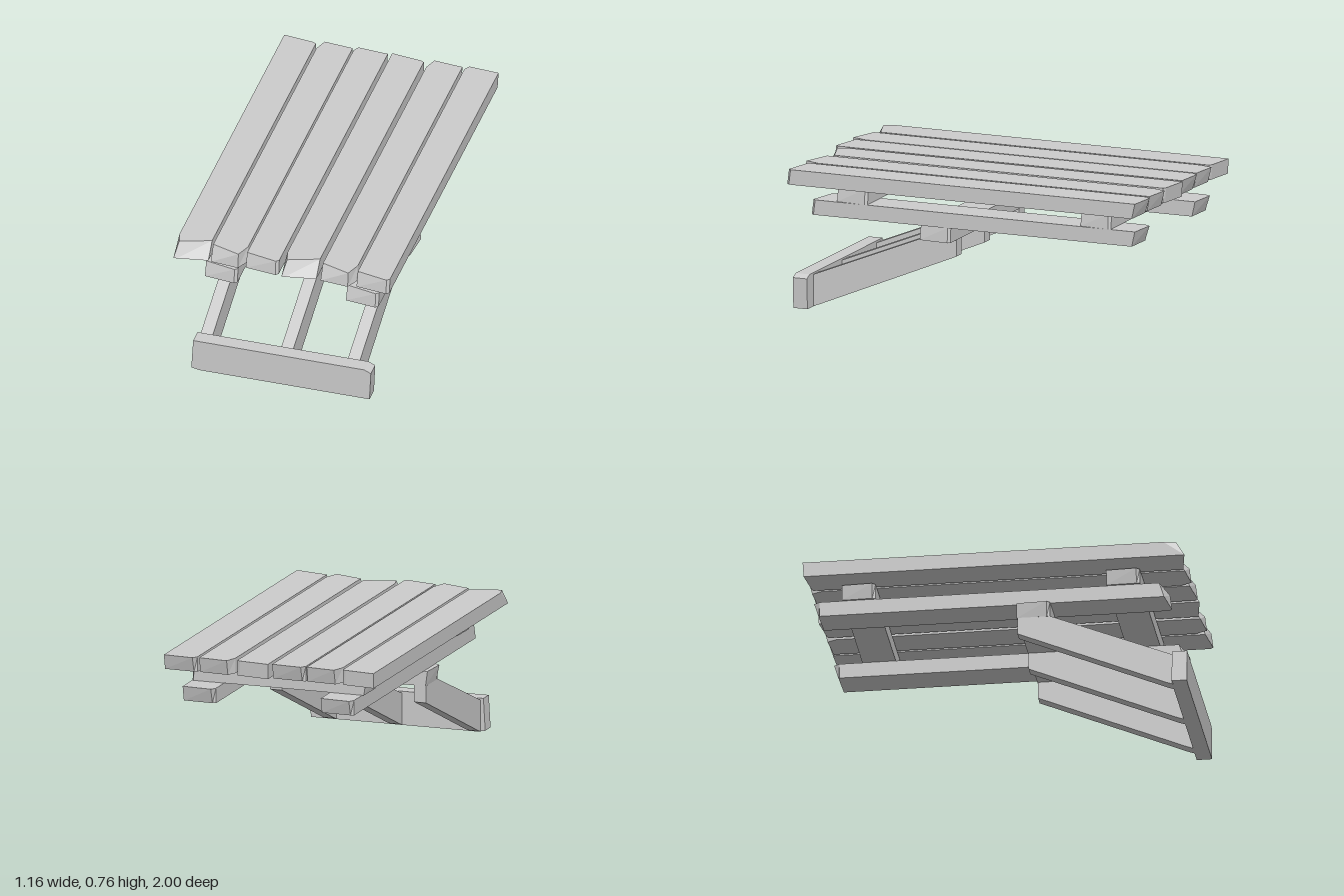
import * as THREE from 'three';

const material = new THREE.MeshStandardMaterial({ color: 0xcccccc, flatShading: true });

// Rough-sawn ends: [fraction of width, inset at top, inset at bottom], left to right
const CUTS = [
  {
    front: [[0, .11, 0], [.1, .045, .003], [1, .1, .03]],
    back: [[0, 0, .005], [.9, .02, .025], [1, .03, .03]],
  },
  {
    front: [[0, .07, .025], [.84, .02, .01], [1, .1, .07]],
    back: [[0, .07, .07], [.13, 0, .02], [1, .015, .03]],
  },
  {
    front: [[0, .05, .025], [.92, .015, .005], [1, .03, .02]],
    back: [[0, .03, .03], [.1, 0, .025], [1, .012, .03]],
  },
];

// Plank running along z: top and bottom outlines joined by side faces
function plankGeometry(width, height, length, cut, insetScale = 1) {
  const ring = level => [
    ...cut.front.map(p => [p, 1]),
    ...[...cut.back].reverse().map(p => [p, -1]),
  ].map(([p, end]) => new THREE.Vector3(
    (p[0] - .5) * width,
    (level ? -.5 : .5) * height,
    end * (length / 2 - p[1 + level] * insetScale),
  ));
  const top = ring(0), bottom = ring(1), points = [];
  for (let i = 0; i < top.length; i++) {
    const j = (i + 1) % top.length;
    points.push(bottom[i], bottom[j], top[j], bottom[i], top[j], top[i]);
    if (i > 0 && j > 0) points.push(top[0], top[i], top[j], bottom[0], bottom[j], bottom[i]);
  }
  const geometry = new THREE.BufferGeometry().setFromPoints(points);
  geometry.computeVertexNormals();
  return geometry;
}

// Prism from an outline, extruded by depth
function prism(outline, depth) {
  const shape = new THREE.Shape(outline.map(([x, y]) => new THREE.Vector2(x, y)));
  return new THREE.ExtrudeGeometry(shape, { depth, bevelEnabled: false });
}

export function createModel() {
  const model = new THREE.Group();
  model.name = 'slattedTable';

  const add = (name, geometry, x, y, z) => {
    const mesh = new THREE.Mesh(geometry, material);
    mesh.name = name;
    mesh.position.set(x, y, z);
    model.add(mesh);
    return mesh;
  };

  // Six top slats, with the three end cuts repeating
  [-.495, -.3, -.11, .09, .295, .49].forEach((x, i) =>
    add(`topSlat${i + 1}`, plankGeometry(.18, .08, 2, CUTS[i % 3]), x, .72, 0));

  // Cross beams: two under the slats, one carrying the legs
  [['frontCrossBeam', .63, .6625], ['backCrossBeam', .63, -.722], ['legCrossBeam', .47, .192]]
    .forEach(([name, y, z]) => {
      const beam = add(name, plankGeometry(.175, .08, .975, CUTS[2], .6), .008, y, z);
      beam.rotation.y = Math.PI / 2;
    });

  // Long runners
  add('rightRunner', plankGeometry(.178, .08, 1.86, CUTS[2]), -.363, .55, -.03);
  add('leftRunner', plankGeometry(.178, .08, 1.86, CUTS[2]), .402, .55, -.03);

  // Three slanted legs, outlined in side profile (-z, y)
  const legProfile = [[-.925, 0], [-.89, .012], [-.108, .34], [-.108, .43], [-.28, .43], [-.925, .168]];
  [['rightLeg', -.463], ['middleLeg', -.026], ['leftLeg', .335]].forEach(([name, x]) => {
    const leg = add(name, prism(legProfile, .065), x, 0, 0);
    leg.rotation.y = Math.PI / 2;
  });

  // Upright board at the foot of the legs
  const boardOutline = [[-.488, .008], [-.44, 0], [.478, 0], [.485, .163], [.45, .18], [-.478, .18]];
  add('footBoard', prism(boardOutline, .08), 0, 0, .92);

  return model;
}
